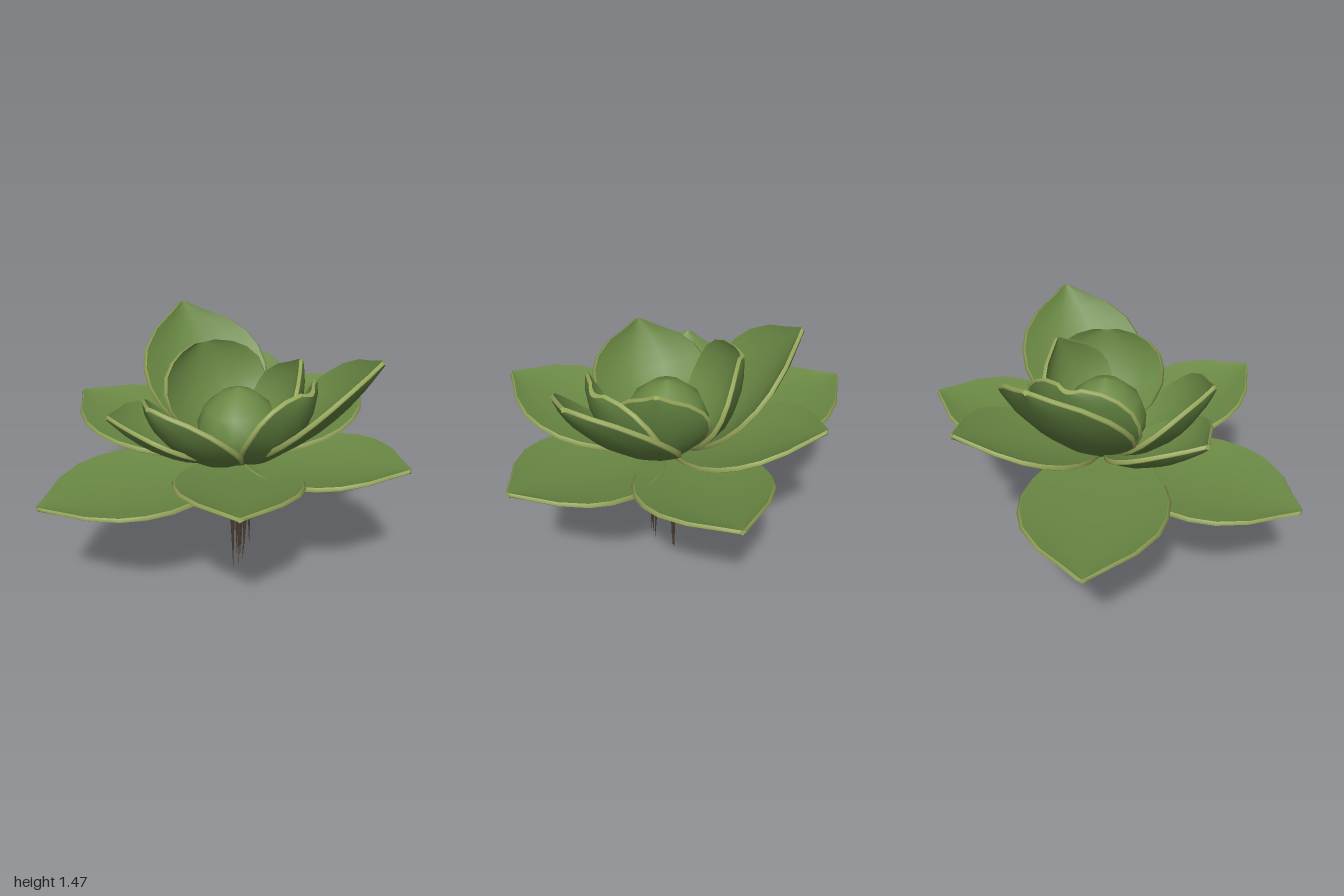
import * as THREE from 'three';

const V = (x, y, z) => new THREE.Vector3(x, y, z);
const paint = (color) => new THREE.MeshStandardMaterial({ color, side: THREE.DoubleSide });
const upperMat = paint(0x6a8844);
const underMat = paint(0x5c7a3c);
const rimMat = paint(0x94a458);
const rootMat = paint(0x4a3c30);
const CENTER = V(0.06, 0, -0.06);

// Half-width along the leaf: [position, fraction of full half-width]
const POINTED = [[0, 0.3], [0.08, 0.52], [0.2, 0.76], [0.32, 0.92], [0.45, 1], [0.58, 0.98], [0.7, 0.87], [0.83, 0.6], [0.92, 0.28], [1, 0.02]];
const BLUNT = [[0, 0.3], [0.1, 0.52], [0.25, 0.8], [0.45, 0.98], [0.6, 1], [0.75, 0.93], [0.87, 0.74], [0.95, 0.5], [1, 0.2]];
const ACROSS = [-1, -0.67, -0.33, 0, 0.33, 0.67, 1];

// Smooth sheet through a list of equally long rows of points
function sheet(rows, flip) {
  const n = rows[0].length;
  const index = [];
  for (let i = 0; i < rows.length - 1; i++) {
    for (let j = 0; j < n - 1; j++) {
      const a = i * n + j, b = a + n, c = a + 1, d = b + 1;
      index.push(...(flip ? [a, c, b, b, c, d] : [a, b, c, b, d, c]));
    }
  }
  const geo = new THREE.BufferGeometry().setFromPoints(rows.flat());
  geo.setIndex(index);
  geo.computeVertexNormals();
  return geo;
}

// Thick cupped leaf from near the centre to its tip
function leaf({ name, tip, width, cup, sag, start, baseY, thick = 0.045, profile = POINTED }) {
  const end = V(...tip);
  const out = V(end.x - CENTER.x, 0, end.z - CENTER.z).normalize();
  const base = CENTER.clone().setY(baseY).addScaledVector(out, start);
  const dir = end.clone().sub(base).normalize();
  const side = V(0, 1, 0).cross(dir).normalize();
  const normal = dir.clone().cross(side);
  const control = base.clone().lerp(end, 0.5).addScaledVector(normal, -2 * sag);
  const spine = new THREE.QuadraticBezierCurve3(base, control, end);

  const upper = profile.map(([t, w]) => ACROSS.map((u) => spine.getPoint(t)
    .addScaledVector(side, u * w * width)
    .addScaledVector(normal, cup * u * u * w)));
  const under = upper.map((row, i) => row.map((p, j) => p.clone()
    .addScaledVector(normal, -thick * (1 - 0.2 * Math.abs(ACROSS[j])) * (1 - 0.4 * profile[i][0]))));

  // Rounded rim runs up one edge, over the tip and down the other
  const last = ACROSS.length - 1;
  const loop = (g) => [...g.map((r) => r[last]), ...g[g.length - 1].slice(1, -1).reverse(), ...g.map((r) => r[0]).reverse()];
  const low = loop(under);
  const rim = loop(upper).map((p, i) => {
    const mid = p.clone().lerp(low[i], 0.6);
    const edge = mid.clone().sub(base).dot(side);
    return [p, mid.addScaledVector(side, 0.015 * Math.sign(edge)), low[i]];
  });

  const group = new THREE.Group();
  group.name = name;
  const add = (part, geo, mat) => {
    const mesh = new THREE.Mesh(geo, mat);
    mesh.name = part;
    group.add(mesh);
  };
  add('leafUpperFace', sheet(upper), upperMat);
  add('leafUnderside', sheet(under, true), underMat);
  add('leafRim', sheet(rim), rimMat);
  return group;
}

// Root that leaves the base sideways, bends down and tapers to a point
function root(x, z, tx, ty, tz) {
  const path = new THREE.CatmullRomCurve3([
    V(x + 0.03, 0.76, z - 0.05), V(x + 0.005, 0.73, z - 0.01), V(x, 0.66, z),
    V((x + tx) / 2, 0.36, (z + tz) / 2), V(tx, ty, tz),
  ]);
  const rings = 12, sides = 6;
  const geo = new THREE.TubeGeometry(path, rings, 0.027, sides);
  const pos = geo.attributes.position;
  for (let i = 0; i < pos.count; i++) {
    const t = Math.floor(i / (sides + 1)) / rings;
    const p = V().fromBufferAttribute(pos, i).lerp(path.getPointAt(t), t);
    pos.setXYZ(i, p.x, p.y, p.z);
  }
  const mesh = new THREE.Mesh(geo, rootMat);
  mesh.name = 'root';
  return mesh;
}

export function createModel() {
  const model = new THREE.Group();
  model.name = 'rosettePlant';

  // Wide, low outer leaves: tip, half-width, base height
  const outer = [
    [[0.18, 0.99, 0.92], 0.325, 0.78], [[0.99, 0.93, 0.27], 0.33, 0.78], [[0.67, 0.97, -0.84], 0.34, 0.78],
    [[-0.04, 1.13, -0.93], 0.32, 0.8], [[-0.99, 0.86, -0.63], 0.37, 0.78], [[-0.9, 0.76, 0.61], 0.36, 0.74],
  ];
  for (const [tip, width, baseY] of outer) {
    model.add(leaf({ name: 'outerLeaf', tip, width, baseY, cup: 0.05, sag: 0.03, start: 0.08 }));
  }

  // Rising middle leaves
  const middle = [[[0.81, 1.41, 0.02], 0.34], [[-0.34, 1.47, -0.62], 0.37], [[-0.61, 1.1, 0.2], 0.29]];
  for (const [tip, width] of middle) {
    model.add(leaf({ name: 'middleLeaf', tip, width, baseY: 0.8, cup: 0.11, sag: 0.06, start: 0.12 }));
  }

  // Steep inner leaves wrapped round the bud
  const inner = [
    [[-0.34, 1.25, 0.38], 0.32, POINTED], [[0.45, 1.26, 0.12], 0.32, BLUNT],
    [[0.38, 1.31, -0.2], 0.25, POINTED], [[-0.18, 1.32, -0.36], 0.32, BLUNT],
  ];
  for (const [tip, width, profile] of inner) {
    model.add(leaf({ name: 'innerLeaf', tip, width, profile, baseY: 0.78, cup: 0.13, sag: 0.08, start: 0.11 }));
  }

  // Closed bud in the middle
  const budProfile = [[0.08, 0.74], [0.17, 0.79], [0.225, 0.88], [0.23, 0.97], [0.19, 1.07], [0.1, 1.15], [0, 1.19]];
  const bud = new THREE.Mesh(
    new THREE.LatheGeometry(budProfile.map(([r, y]) => new THREE.Vector2(r, y)), 12), upperMat);
  bud.name = 'bud';
  bud.position.copy(CENTER);
  model.add(bud);

  // Star of small leaves under the rosette
  for (let i = 0; i < 5; i++) {
    const a = (i / 5) * Math.PI * 2 + 0.4;
    const tip = [CENTER.x + 0.2 * Math.cos(a), 0.75, CENTER.z + 0.2 * Math.sin(a)];
    model.add(leaf({ name: 'baseLeaf', tip, width: 0.08, baseY: 0.73, cup: 0.01, sag: 0.01, start: 0, thick: 0.025 }));
  }

  // Thin tapering roots: top x, top z, tip x, tip y, tip z
  const roots = [
    [0.04, 0.055, 0.05, 0.05, 0.05], [0.08, 0.015, 0.08, 0.06, 0.02], [0.12, -0.04, 0.1, 0.06, -0.005],
    [0.05, -0.09, 0.055, 0.02, -0.1], [0.08, -0.12, 0.075, 0, -0.125], [0.12, -0.13, 0.125, 0.08, -0.15],
  ];
  for (const r of roots) model.add(root(...r));
  return model;
}
